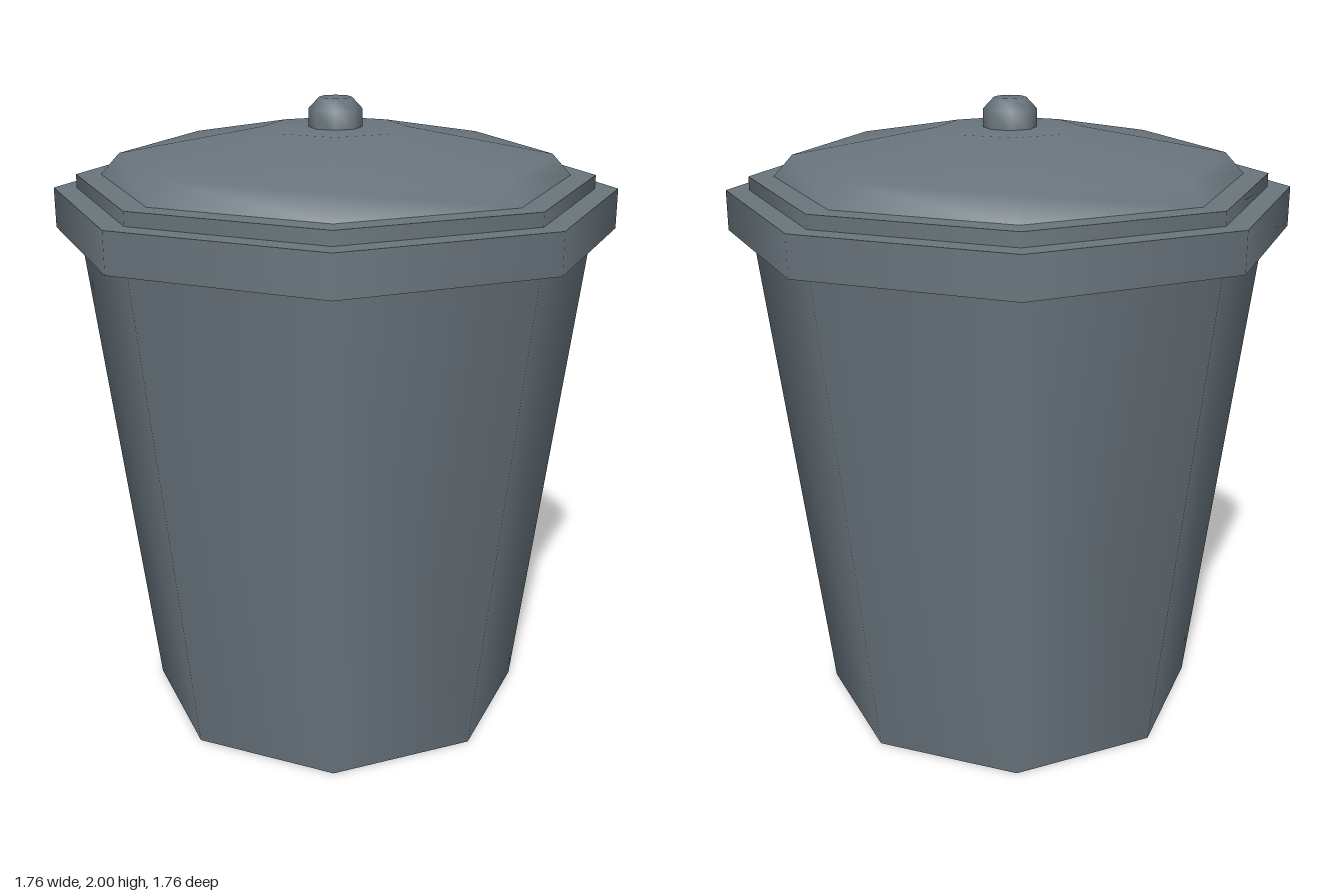
import * as THREE from 'three';

const SIDES = 8;

export function createModel() {
  const metal = new THREE.MeshStandardMaterial({ color: 0x69757d });
  metal.name = 'slate grey metal';
  const model = new THREE.Group();
  model.name = 'trashCan';

  // Eight-sided part turned from [radius, height] points, smooth around the axis
  const turned = (parent, name, ...profile) => {
    const points = profile.map(([r, y]) => new THREE.Vector2(r, y));
    const mesh = new THREE.Mesh(new THREE.LatheGeometry(points, SIDES), metal);
    mesh.name = name;
    parent.add(mesh);
  };
  const group = (name) => {
    const g = new THREE.Group();
    g.name = name;
    model.add(g);
    return g;
  };

  // Tapered bin body with a closed base
  const body = group('body');
  turned(body, 'base', [0, 0], [0.612, 0]);
  turned(body, 'wall', [0.612, 0], [0.808, 1.595]);

  // Overhanging rim band
  const rim = group('rim');
  turned(rim, 'rimUnderside', [0.78, 1.595], [0.88, 1.595]);
  turned(rim, 'rimBand', [0.88, 1.595], [0.88, 1.72]);
  turned(rim, 'rimTop', [0.88, 1.72], [0.808, 1.72]);

  // Lid with a stepped edge and a shallow dome
  const lid = group('lid');
  turned(lid, 'lidEdge', [0.808, 1.72], [0.808, 1.762]);
  turned(lid, 'lidLedge', [0.808, 1.762], [0.73, 1.762]);
  turned(lid, 'lidDome', [0.73, 1.762], [0.67, 1.828], [0.225, 1.91], [0, 1.91]);

  // Knob handle with a chamfered top
  const knob = group('knob');
  turned(knob, 'knobStem', [0.083, 1.9], [0.083, 1.965], [0.05, 2], [0, 2]);

  return model;
}
